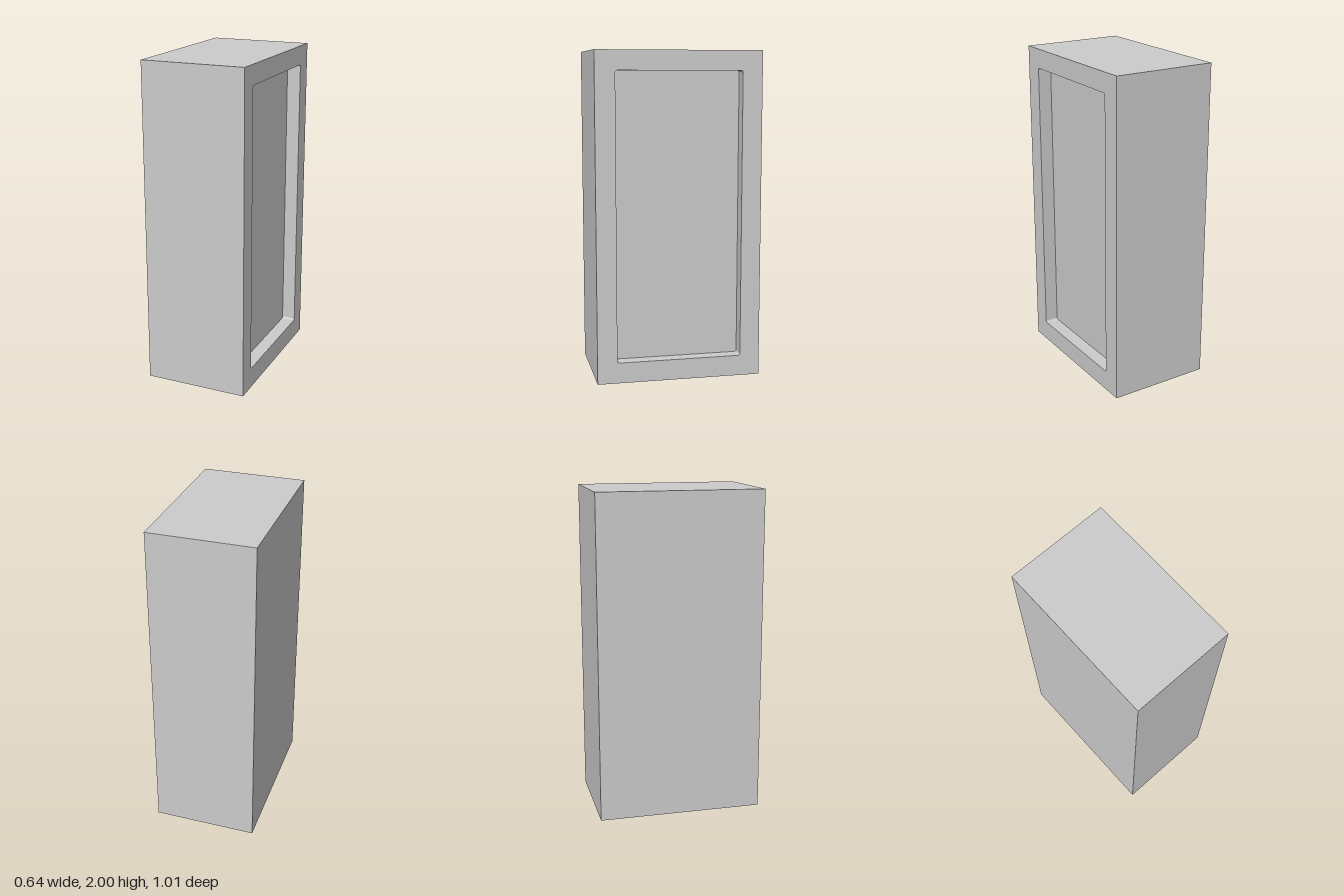
import * as THREE from 'three';

const W = 0.64, H = 2, D = 1.014;           // outer size
const PW = 0.77, PH = 1.754, PY = 1.004;    // recess opening and its centre height
const DEPTH = 0.085, R = 0.012;             // recess depth and corner radius

// Rounded rectangle centred on (0, cy)
function roundedRect(target, w, h, cy, r) {
  const x = w / 2, y0 = cy - h / 2, y1 = cy + h / 2;
  target.moveTo(-x + r, y0);
  target.lineTo(x - r, y0).absarc(x - r, y0 + r, r, -Math.PI / 2, 0);
  target.lineTo(x, y1 - r).absarc(x - r, y1 - r, r, 0, Math.PI / 2);
  target.lineTo(-x + r, y1).absarc(-x + r, y1 - r, r, Math.PI / 2, Math.PI);
  target.lineTo(-x, y0 + r).absarc(-x + r, y0 + r, r, Math.PI, Math.PI * 1.5);
  return target;
}

// Rounded pocket: an extruded slab turned inside out, without its outer cap
function pocketGeometry() {
  const shape = roundedRect(new THREE.Shape(), PW, PH, PY, R);
  const slab = new THREE.ExtrudeGeometry(shape, { depth: DEPTH, bevelEnabled: false, curveSegments: 4 });
  const p = slab.attributes.position, out = [];
  for (let i = 0; i < p.count; i += 3) {
    const corners = [i, i + 2, i + 1];
    if (corners.every(k => p.getZ(k) > DEPTH - 1e-5)) continue;
    for (const k of corners) out.push(p.getX(k), p.getY(k), p.getZ(k));
  }
  const geometry = new THREE.BufferGeometry();
  geometry.setAttribute('position', new THREE.Float32BufferAttribute(out, 3));
  geometry.computeVertexNormals();
  return geometry;
}

export function createModel() {
  const group = new THREE.Group();
  group.name = 'recessedCabinet';
  const material = new THREE.MeshStandardMaterial({ color: 0xcccccc });
  const add = (name, geometry) => {
    const mesh = new THREE.Mesh(geometry, material);
    mesh.name = name;
    group.add(mesh);
  };

  // Outer shell, open on the left (+x) side
  const shell = new THREE.BoxGeometry(W, H, D).translate(0, H / 2, 0);
  shell.setIndex(Array.from(shell.index.array).slice(6));
  shell.clearGroups();
  add('shell', shell);

  // Flat border around the recess
  const border = new THREE.Shape();
  border.moveTo(-D / 2, 0).lineTo(D / 2, 0).lineTo(D / 2, H).lineTo(-D / 2, H);
  border.holes.push(roundedRect(new THREE.Path(), PW, PH, PY, R));
  add('border', new THREE.ShapeGeometry(border, 4).rotateY(Math.PI / 2).translate(W / 2, 0, 0));

  // Walls and back panel of the recess
  add('recess', pocketGeometry().rotateY(Math.PI / 2).translate(W / 2 - DEPTH, 0, 0));

  return group;
}
